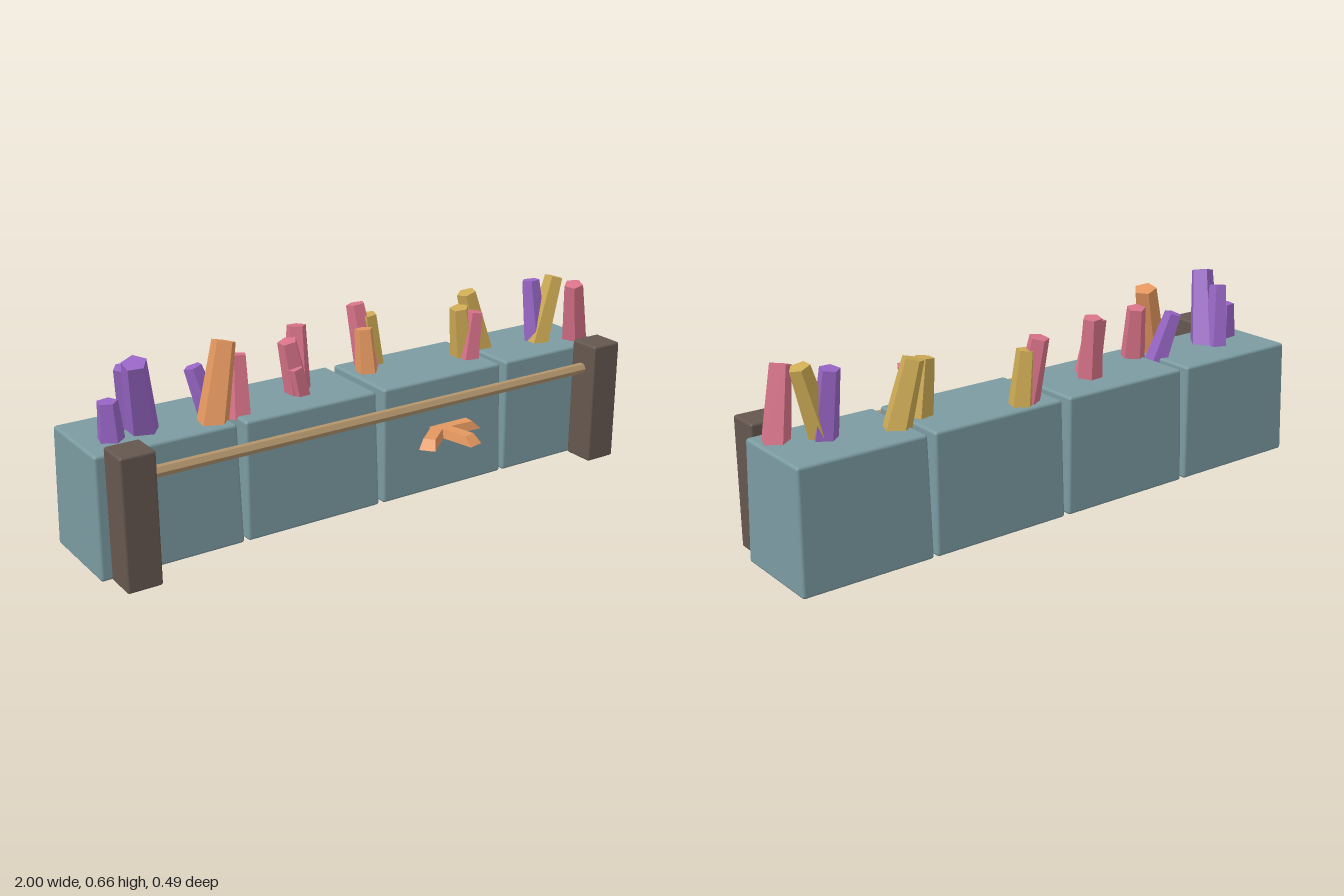
import * as THREE from 'three';
import { RoundedBoxGeometry } from 'three/addons/geometries/RoundedBoxGeometry.js';

const paint = (name, color, flat = true) => {
  const m = new THREE.MeshStandardMaterial({ color, flatShading: flat });
  m.name = name;
  return m;
};

export function createModel() {
  const model = new THREE.Group();
  const stone = paint('blueGreyStone', 0x7b9ba1, false);
  const darkWood = paint('darkWood', 0x65574f, false);
  const paleWood = paint('paleWood', 0xb2946c);
  const purple = paint('purpleCrystal', 0x9765c4);
  const pink = paint('pinkCrystal', 0xd87389);
  const orange = paint('orangeCrystal', 0xe3965f);
  const yellow = paint('yellowCrystal', 0xcdab55);

  const add = (name, geometry, material, parent = model) => {
    const mesh = new THREE.Mesh(geometry, material);
    mesh.name = name;
    parent.add(mesh);
    return mesh;
  };

  // Four stone blocks, narrowing slightly towards the top
  [[-1, -0.507], [-0.493, 0.012], [0.028, 0.532], [0.543, 1]].forEach(([x0, x1], i) => {
    const w = x1 - x0, h = 0.403, d = 0.33;
    const geo = new RoundedBoxGeometry(w, h, d, 2, 0.01);
    const p = geo.attributes.position;
    for (let k = 0; k < p.count; k++) {
      const t = p.getY(k) / h + 0.5;
      p.setX(k, p.getX(k) * (1 - (0.016 / w) * t));
      p.setZ(k, p.getZ(k) * (1 - (0.02 / d) * t));
    }
    add('stoneBlock' + (i + 1), geo, stone).position.set((x0 + x1) / 2, h / 2, -0.085);
  });

  // Posts at both ends, joined by a rail
  for (const side of [-1, 1]) {
    add(side > 0 ? 'leftPost' : 'rightPost', new RoundedBoxGeometry(0.116, 0.435, 0.115, 2, 0.008), darkWood)
      .position.set(side * 0.908, 0.2175, 0.137);
  }
  const rail = new THREE.CylinderGeometry(0.019, 0.019, 1.72, 6);
  rail.rotateZ(Math.PI / 2);
  add('rail', rail, paleWood).position.set(0, 0.343, 0.134);

  // A leaning, tapered crystal: base x, z; tip x, y, z; base radius; turn
  const crystal = (parent, [mat, bx, bz, tx, ty, tz, r, turn]) => {
    const base = new THREE.Vector3(bx, 0.385, bz);
    const axis = new THREE.Vector3(tx, ty, tz).sub(base);
    const len = axis.length();
    const geo = new THREE.CylinderGeometry(r * 0.74, r, len, 5);
    geo.rotateY(turn);
    geo.translate(0, len / 2, 0);
    const mesh = add('crystal', geo, mat, parent);
    mesh.position.copy(base);
    mesh.quaternion.setFromUnitVectors(new THREE.Vector3(0, 1, 0), axis.normalize());
  };

  const clusters = [
    [[purple, -0.775, -0.055, -0.825, 0.648, 0.02, 0.054, 0.3],
      [purple, -0.79, -0.1, -0.825, 0.61, -0.065, 0.042, 0.9],
      [purple, -0.89, -0.035, -0.895, 0.525, -0.035, 0.045, 0.1]],
    [[orange, -0.565, 0, -0.495, 0.642, -0.037, 0.054, 0.2],
      [pink, -0.46, -0.02, -0.445, 0.585, -0.05, 0.045, 0.5],
      [purple, -0.53, -0.07, -0.575, 0.555, -0.1, 0.042, 0.8]],
    [[pink, -0.205, -0.075, -0.245, 0.585, -0.075, 0.045, 0.4],
      [pink, -0.19, -0.105, -0.178, 0.613, -0.13, 0.045, 0.1],
      [pink, -0.205, -0.06, -0.235, 0.5, -0.05, 0.036, 0.7]],
    [[pink, 0.135, -0.175, 0.11, 0.618, -0.213, 0.045, 0.5],
      [yellow, 0.165, -0.19, 0.145, 0.58, -0.192, 0.044, 0.63],
      [orange, 0.095, -0.12, 0.095, 0.55, -0.14, 0.042, 0.2]],
    [[yellow, 0.475, -0.075, 0.447, 0.583, -0.07, 0.046, 0.2],
      [yellow, 0.59, -0.125, 0.528, 0.61, -0.135, 0.048, 0.6],
      [pink, 0.475, -0.05, 0.5, 0.565, -0.05, 0.043, 0.4]],
    [[purple, 0.805, -0.07, 0.793, 0.622, -0.1, 0.044, 0.7],
      [yellow, 0.8, -0.06, 0.872, 0.632, -0.062, 0.046, 0.3],
      [pink, 0.935, -0.008, 0.885, 0.622, 0.028, 0.047, 0.63]],
  ];
  clusters.forEach((list, i) => {
    const group = new THREE.Group();
    group.name = 'crystalCluster' + (i + 1);
    model.add(group);
    list.forEach((c) => crystal(group, c));
  });

  // Flat crystals fanning out of one block, with sloping outer ends
  const fan = new THREE.Group();
  fan.name = 'frontCrystalFan';
  model.add(fan);
  [[0.26, 0.075, 0.13, 0.185], [0.255, 0.06, 0.295, 0.237], [0.22, 0.085, 0.405, 0.095]].forEach(([x0, z0, x1, z1]) => {
    const len = Math.hypot(x1 - x0, z1 - z0);
    const geo = new THREE.BoxGeometry(len, 0.03, 0.055);
    geo.translate(len / 2, 0, 0);
    const p = geo.attributes.position;
    for (let k = 0; k < p.count; k++) {
      if (p.getY(k) > 0) {
        if (p.getX(k) > 0.01) p.setX(k, p.getX(k) - 0.03);
        p.setZ(k, p.getZ(k) * 0.75);
      }
    }
    geo.computeVertexNormals();
    const arm = add('flatCrystal', geo, orange, fan);
    arm.position.set(x0, 0.22, z0);
    arm.rotation.y = -Math.atan2(z1 - z0, x1 - x0);
  });

  return model;
}
